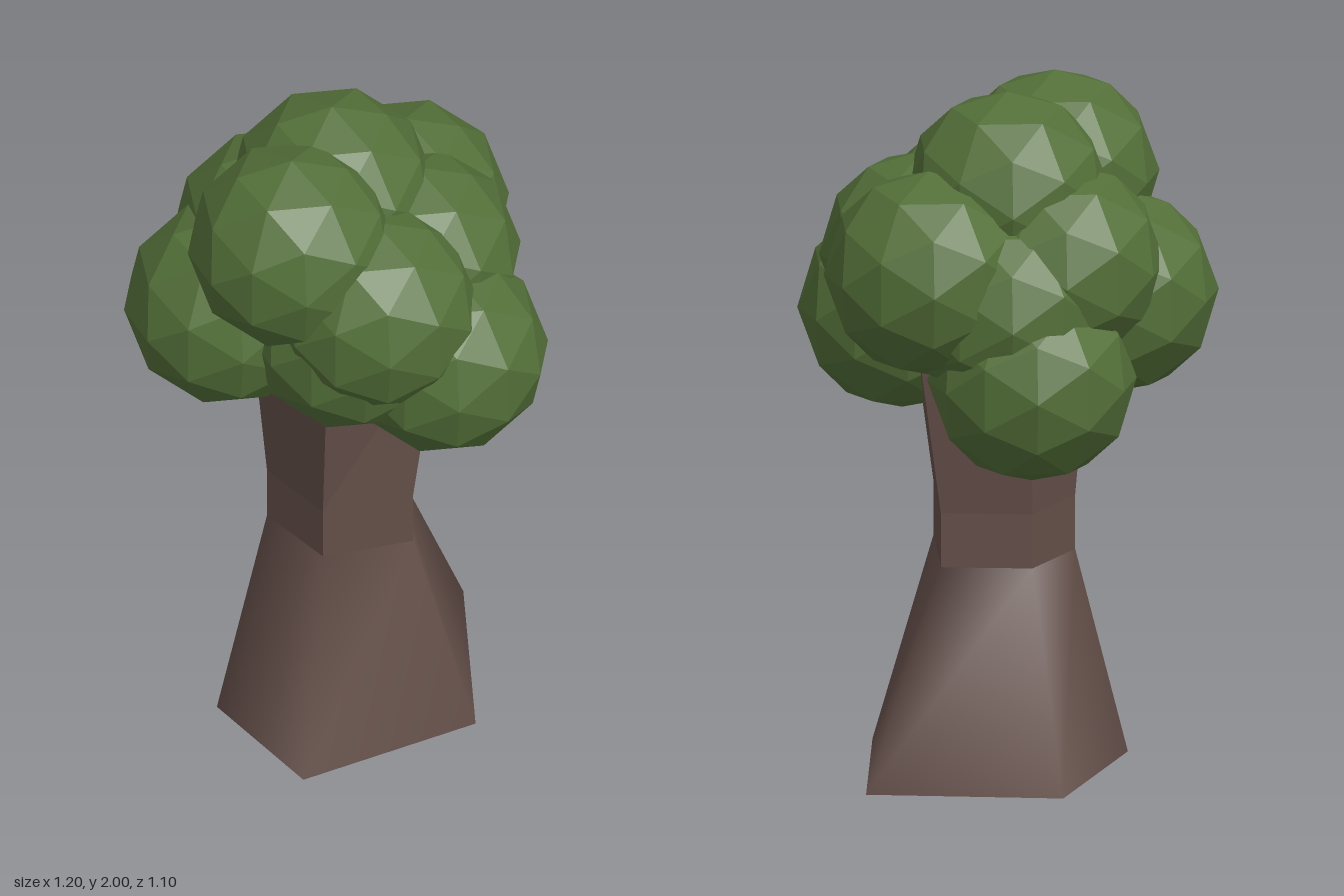
import * as THREE from 'three';

// Five-sided trunk outlines as [x, z], counter-clockwise seen from above
const base = [[-0.15, 0.475], [0.375, 0.285], [0.43, -0.335], [-0.13, -0.41], [-0.345, 0.1]];
const waist = [[-0.06, 0.245], [0.205, 0.21], [0.205, -0.15], [-0.055, -0.18], [-0.19, 0.03]];
const crown = [[-0.06, 0.33], [0.28, 0.21], [0.28, -0.15], [-0.05, -0.24], [-0.24, 0.03]];

// Skin a stack of [height, outline] sections
function loft(sections) {
  const points = [], index = [];
  sections.forEach(([y, ring]) => ring.forEach(([x, z]) => points.push(x, y, z)));
  for (let s = 0; s < sections.length - 1; s++) {
    for (let i = 0; i < 5; i++) {
      const j = (i + 1) % 5, a = s * 5 + i, b = s * 5 + j;
      index.push(a, b, b + 5, a, b + 5, a + 5);
    }
  }
  const geometry = new THREE.BufferGeometry();
  geometry.setAttribute('position', new THREE.Float32BufferAttribute(points, 3));
  geometry.setIndex(index);
  return geometry;
}

// Flat end of the trunk
function cap(y, ring, up) {
  const geometry = new THREE.BufferGeometry();
  geometry.setAttribute('position', new THREE.Float32BufferAttribute(ring.flatMap(([x, z]) => [x, y, z]), 3));
  geometry.setIndex(up ? [0, 1, 2, 0, 2, 3, 0, 3, 4] : [0, 2, 1, 0, 3, 2, 0, 4, 3]);
  geometry.computeVertexNormals();
  return geometry;
}

export function createModel() {
  const model = new THREE.Group();
  model.name = 'tree';
  const bark = new THREE.MeshStandardMaterial({ color: 0x644f49 });
  bark.name = 'brown bark';
  const leaf = new THREE.MeshStandardMaterial({ color: 0x536f38 });
  leaf.name = 'green leaves';

  const add = (parent, name, geometry, material) => {
    const mesh = new THREE.Mesh(geometry, material);
    mesh.name = name;
    parent.add(mesh);
    return mesh;
  };

  // Trunk: smooth flared foot, faceted stem widening into the crown
  const trunk = new THREE.Group();
  trunk.name = 'trunk';
  model.add(trunk);
  const foot = loft([[0, base], [0.62, waist]]);
  foot.computeVertexNormals();
  add(trunk, 'trunkFoot', foot, bark);
  add(trunk, 'trunkUnderside', cap(0, base, false), bark);
  const stem = loft([[0.62, waist], [0.78, waist], [1.35, crown]]).toNonIndexed();
  stem.computeVertexNormals();
  add(trunk, 'trunkStem', stem, bark);
  add(trunk, 'trunkTop', cap(1.35, crown, true), bark);

  // Foliage: equal faceted balls
  const foliage = new THREE.Group();
  foliage.name = 'foliage';
  model.add(foliage);
  const ball = new THREE.IcosahedronGeometry(0.3, 1);
  ball.computeVertexNormals();
  [
    [-0.14, 1.7, 0.175], [0.01, 1.7, -0.06],
    [0.09, 1.51, 0.25], [0.245, 1.51, 0.01], [0.245, 1.51, -0.22], [-0.14, 1.51, -0.14],
    [0.03, 1.4, 0.19], [0.02, 1.4, -0.21], [-0.3, 1.39, 0.01],
    [0.295, 1.3, 0.21], [-0.05, 1.2, -0.25],
  ].forEach((p) => add(foliage, 'leafBall', ball, leaf).position.set(...p));

  return model;
}
